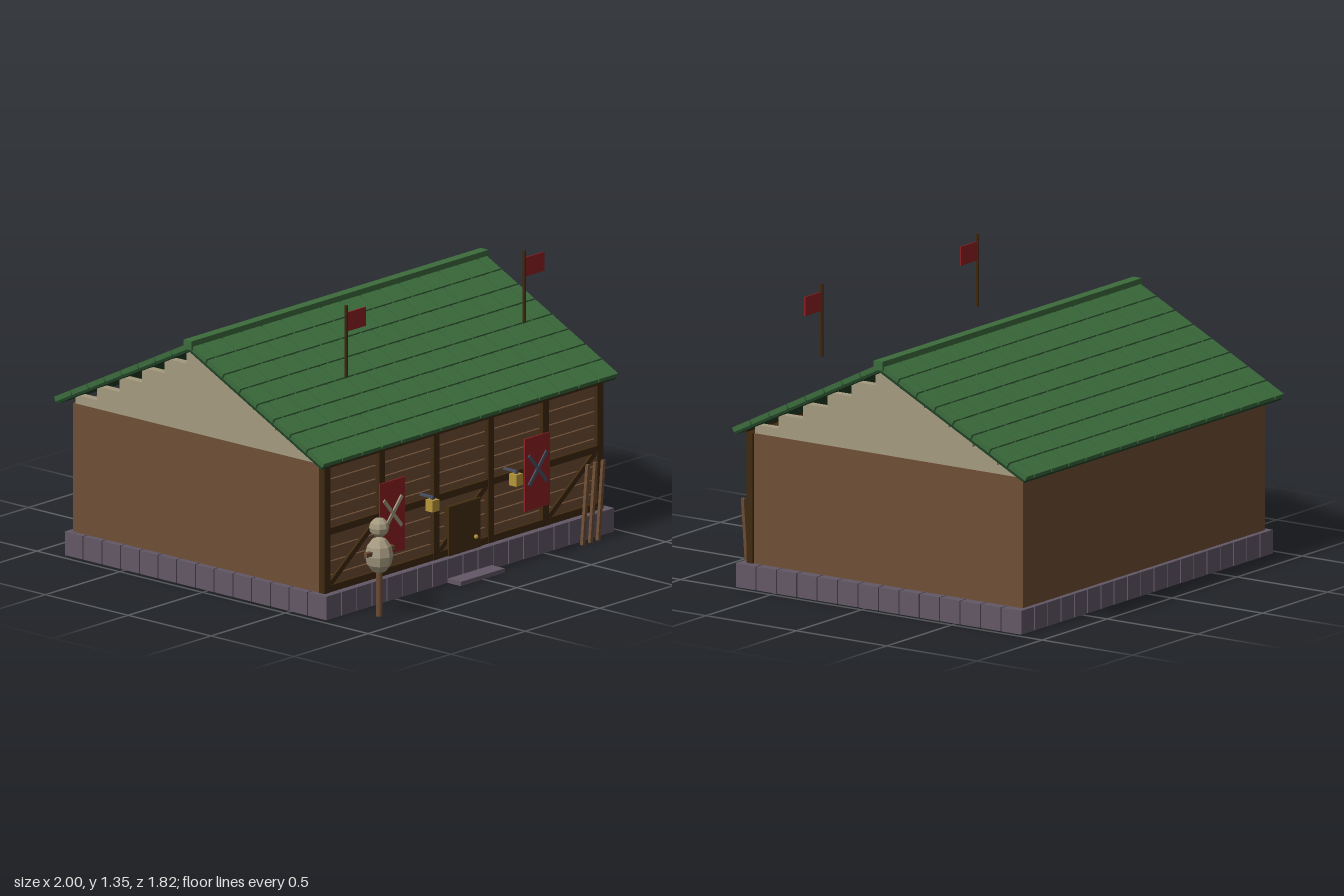
import * as THREE from 'three';

const mat = (name, color, extra = {}) => {
  const m = new THREE.MeshStandardMaterial({ color, ...extra });
  m.name = name;
  return m;
};

export function createModel() {
  const M = {
    plank: mat('plank brown', 0x6e4e35),
    timber: mat('timber dark brown', 0x40290f),
    door: mat('door brown', 0x432e10),
    stone: mat('foundation stone', 0x625866),
    plaster: mat('plaster and straw', 0xa59a80, { flatShading: true }),
    red: mat('banner red', 0x8e1f23),
    gold: mat('lantern gold', 0xb8963a),
    steel: mat('steel', 0x4a5062),
    tile: mat('roof green', 0x3b6b3c),
    under: mat('roof underlay green', 0x1f4025),
  };
  const root = new THREE.Group();
  root.name = 'timberHouse';
  const CX = -0.006, CZ = -0.09;

  const group = (name, parent = root) => {
    const g = new THREE.Group();
    g.name = name;
    parent.add(g);
    return g;
  };
  const add = (parent, name, geo, m, x, y, z) => {
    const mesh = new THREE.Mesh(geo, m);
    mesh.name = name;
    mesh.position.set(x, y, z);
    parent.add(mesh);
    return mesh;
  };
  // box given by its extents
  const box = (parent, name, m, x0, x1, y0, y1, z0, z1) =>
    add(parent, name, new THREE.BoxGeometry(x1 - x0, y1 - y0, z1 - z0), m,
      (x0 + x1) / 2, (y0 + y1) / 2, (z0 + z1) / 2);
  // square bar between two points in a plane facing +z
  const bar = (parent, name, m, x0, y0, x1, y1, z, w, d) => {
    const b = add(parent, name, new THREE.BoxGeometry(Math.hypot(x1 - x0, y1 - y0), w, d), m,
      (x0 + x1) / 2, (y0 + y1) / 2, z);
    b.rotation.z = Math.atan2(y1 - y0, x1 - x0);
    return b;
  };

  // Foundation ring of separate blocks
  const base = group('foundation');
  const X0 = -0.965, X1 = 0.972, Z0 = -0.865, Z1 = 0.717, T = 0.055;
  const nx = 19, nz = 14, px = (X1 - X0) / nx, pz = (Z1 - Z0) / nz, gap = 0.003;
  for (let i = 0; i < nx; i++) {
    const a = X0 + i * px + gap, b = X0 + (i + 1) * px - gap;
    box(base, 'frontBlock', M.stone, a, b, 0, 0.11, Z1 - T, Z1);
    box(base, 'backBlock', M.stone, a, b, 0, 0.11, Z0, Z0 + T);
  }
  for (let i = 0; i < nz; i++) {
    const a = Z0 + i * pz + gap, b = Z0 + (i + 1) * pz - gap;
    box(base, 'rightBlock', M.stone, X0, X0 + T, 0, 0.109, a, b);
    box(base, 'leftBlock', M.stone, X1 - T, X1, 0, 0.109, a, b);
  }
  box(root, 'doorStep', M.stone, -0.15, 0.145, 0, 0.02, 0.70, 0.797);

  // Walls, and planks on the front
  box(root, 'walls', M.plank, CX - 0.93, CX + 0.93, 0.105, 0.71, -0.84, 0.655);
  const planks = group('frontPlanks');
  for (let i = 0; i < 9; i++) {
    const y = 0.125 + i * 0.064;
    box(planks, 'plank', M.plank, CX - 0.925, CX + 0.925, y, y + 0.058, 0.65, 0.667);
  }

  // Timber frame on the front
  const frame = group('timberFrame');
  for (let i = 0; i < 6; i++) {
    const x = -0.921 + i * 0.367;
    box(frame, 'post', M.timber, x - 0.019, x + 0.019, 0.11, 0.71, 0.65, 0.684);
  }
  for (const [a, b] of [[0.11, 0.142], [0.378, 0.41], [0.692, 0.712]])
    box(frame, 'rail', M.timber, CX - 0.93, CX + 0.93, a, b, 0.65, 0.682);
  for (const [a, b] of [[-0.9, -0.57], [-0.165, 0.165], [0.57, 0.9]])
    bar(frame, 'brace', M.timber, a, 0.14, b, 0.385, 0.668, 0.026, 0.02);
  box(frame, 'eaveBeam', M.timber, CX - 0.93, CX + 0.93, 0.708, 0.726, 0.69, 0.712);

  // Door
  box(root, 'door', M.door, -0.11, 0.102, 0.1, 0.34, 0.66, 0.69);
  add(root, 'doorKnob', new THREE.SphereGeometry(0.011, 8, 6), M.gold, 0.066, 0.165, 0.694);

  // Stepped gables
  const tops = [0.75, 0.815, 0.885, 0.955, 1.025, 1.1];
  const halves = [0.735, 0.605, 0.47, 0.335, 0.2, 0.067];
  for (const s of [-1, 1]) {
    const g = group(s > 0 ? 'leftGable' : 'rightGable');
    tops.forEach((top, i) => {
      const x = CX + s * 0.908;
      box(g, 'gableStep', M.plaster, x - 0.02, x + 0.02, i ? tops[i - 1] : 0.71, top,
        CZ - halves[i], CZ + halves[i]);
    });
  }

  // Roof slopes: thin underlay with staggered shingles
  const L = 0.905, ROWS = 8, rowP = L / ROWS, R0 = -0.995, R1 = 0.99, W = (R1 - R0) / 15;
  for (const s of [1, -1]) {
    const slope = group(s > 0 ? 'frontRoof' : 'backRoof');
    slope.position.set(0, 1.12, CZ);
    slope.rotation.x = s * Math.atan(0.5);
    box(slope, 'underlay', M.under, R0 + 0.005, R1 - 0.005, -0.012, 0.006,
      s > 0 ? 0 : -L + 0.006, s > 0 ? L - 0.006 : 0);
    for (let r = 0; r < ROWS; r++) {
      const odd = (r + (s > 0 ? 1 : 0)) % 2;
      const a = r * rowP + 0.004, b = (r + 1) * rowP - 0.004;
      for (let c = 0; c < 15 + odd; c++) {
        const x = R0 + (c - odd / 2) * W;
        box(slope, 'shingle', M.tile, Math.max(x, R0) + 0.004, Math.min(x + W, R1) - 0.004,
          0, 0.023, s > 0 ? a : -b, s > 0 ? b : -a);
      }
    }
  }
  box(root, 'ridgeCap', M.tile, -1, 0.997, 1.118, 1.16, CZ - 0.024, CZ + 0.024);

  // Wall banners with crossed bars
  for (const s of [-1, 1]) {
    const g = group(s > 0 ? 'leftBanner' : 'rightBanner');
    const x = s * 0.487 - 0.004;
    box(g, 'cloth', M.red, x - 0.083, x + 0.083, 0.208, 0.547, 0.682, 0.69);
    for (const k of [-1, 1])
      bar(g, 'crossedBar', s > 0 ? M.steel : M.plaster, x - 0.06, 0.395 - k * 0.07,
        x + 0.06, 0.395 + k * 0.07, 0.692 + k * 0.001, 0.017, 0.008);
  }

  // Lanterns on brackets
  for (const s of [-1, 1]) {
    const g = group(s > 0 ? 'leftLantern' : 'rightLantern');
    const x = s * 0.281;
    box(g, 'bracket', M.steel, x - 0.006, x + 0.006, 0.429, 0.439, 0.67, 0.748);
    box(g, 'lamp', M.gold, x - 0.022, x + 0.022, 0.37, 0.424, 0.72, 0.764);
    box(g, 'lampCap', M.steel, x - 0.008, x + 0.008, 0.424, 0.432, 0.734, 0.75);
  }

  // Flags above the roof
  for (const s of [-1, 1]) {
    const g = group(s > 0 ? 'leftFlag' : 'rightFlag');
    const x = s * 0.599 - 0.003;
    add(g, 'flagPole', new THREE.CylinderGeometry(0.008, 0.008, 0.335, 6), M.timber, x, 1.187, 0.51);
    box(g, 'flagCloth', M.red, x + 0.006, x + 0.131, 1.232, 1.32, 0.507, 0.513);
  }

  // Training dummy
  const dummy = group('trainingDummy');
  dummy.position.set(-0.753, 0, 0.845);
  add(dummy, 'dummyPost', new THREE.CylinderGeometry(0.016, 0.016, 0.36, 6), M.plank, 0, 0.18, 0);
  const body = add(dummy, 'dummyBody', new THREE.SphereGeometry(0.064, 8, 6), M.plaster, 0, 0.285, 0);
  body.scale.y = 1.34;
  add(dummy, 'dummyHead', new THREE.SphereGeometry(0.046, 8, 6), M.plaster, 0, 0.414, 0);
  box(dummy, 'dummyArms', M.plank, -0.092, 0.094, 0.292, 0.312, -0.01, 0.01);

  // Leaning staves
  const staves = group('staves');
  for (let i = 0; i < 3; i++) {
    const x = 0.695 + i * 0.052;
    bar(staves, 'stave', M.plank, x, 0.006, x + 0.036, 0.375, 0.772, 0.016, 0.016);
  }
  return root;
}
